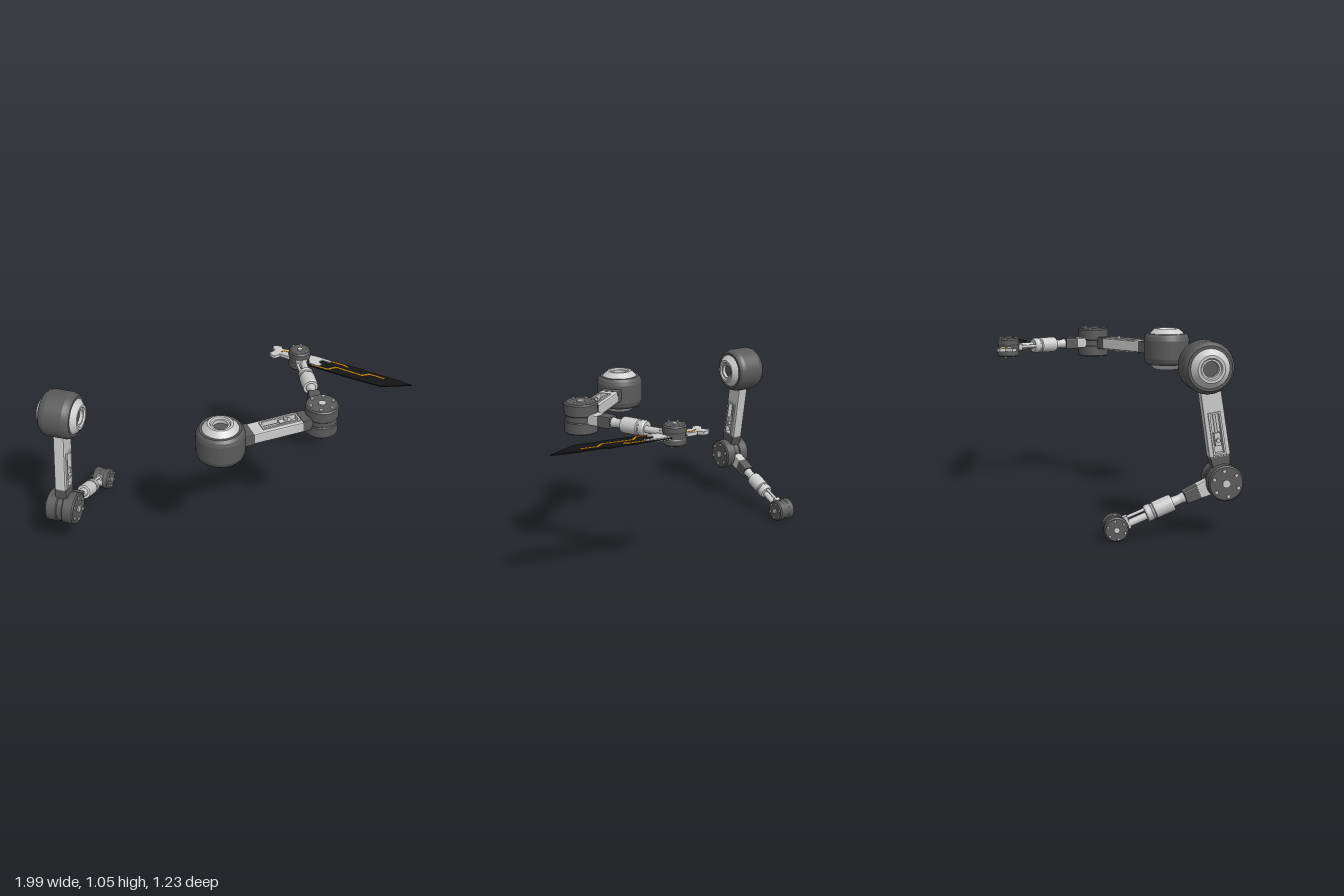
import * as THREE from 'three';

const mat = (color) => new THREE.MeshStandardMaterial({ color, side: THREE.DoubleSide });
const light = mat(0xcccccc), dark = mat(0x5a5a5a), black = mat(0x141414), orange = mat(0xc8860d);

function add(parent, name, geometry, material, x = 0, y = 0, z = 0) {
  const m = new THREE.Mesh(geometry, material);
  m.name = name;
  m.position.set(x, y, z);
  parent.add(m);
  return m;
}

const poly = (pts) => new THREE.Shape(pts.map(([x, y]) => new THREE.Vector2(x, y)));

// Plate of given thickness centred on z = 0, with a small bevel kept inside the thickness
function plate(shape, t, b = 0) {
  const g = new THREE.ExtrudeGeometry(shape, {
    depth: t - 2 * b, bevelEnabled: b > 0, bevelThickness: b, bevelSize: b, bevelOffset: -b, bevelSegments: 2,
  });
  return g.translate(0, 0, -t / 2 + b);
}

// Sharp-edged turned part about local z: each profile segment is its own smooth band
function turned(parent, name, profile, material, sign = 1) {
  const group = new THREE.Group();
  group.name = name;
  for (let i = 0; i < profile.length - 1; i++) {
    const pts = [profile[i], profile[i + 1]].map(([r, h]) => new THREE.Vector2(r, h * sign));
    add(group, name + 'Band', new THREE.LatheGeometry(pts, 40).rotateX(Math.PI / 2), material);
  }
  parent.add(group);
}

// Frame at a point: z is the joint axis, y runs along the link
function frame(name, at, dir, axis) {
  const g = new THREE.Group();
  g.name = name;
  const y = dir.clone().normalize(), z = axis.clone();
  const x = new THREE.Vector3().crossVectors(y, z);
  g.quaternion.setFromRotationMatrix(new THREE.Matrix4().makeBasis(x, y, z));
  g.position.copy(at);
  return g;
}

function shoulder(g) {
  turned(g, 'shoulderDrum', [[0.118, -0.093], [0.131, -0.078], [0.138, -0.055], [0.138, 0.055], [0.131, 0.078], [0.118, 0.093]], dark);
  for (const s of [-1, 1]) {
    turned(g, 'shoulderRim', [[0.118, 0.093], [0.104, 0.093], [0.104, 0.08]], dark, s);
    turned(g, 'shoulderCap', [[0.106, 0.088], [0.1, 0.097], [0.072, 0.123], [0.058, 0.123], [0.052, 0.114], [0.042, 0.114], [0.04, 0.09]], light, s);
    turned(g, 'shoulderHub', [[0.042, 0.095], [0, 0.095]], dark, s);
  }
}

// Two bolted discs on a narrower core
function joint(g, name, r, h) {
  turned(g, name + 'Core', [[r * 0.93, -0.02], [r * 0.93, 0.02]], dark);
  for (const s of [-1, 1]) {
    turned(g, name + 'Disc', [[0, 0.016], [r * 0.95, 0.016], [r, 0.021], [r, h - 0.008], [r - 0.008, h], [0, h]], dark, s);
    const bolt = (rad) => new THREE.CylinderGeometry(rad, rad, 0.014, 14).rotateX(Math.PI / 2);
    add(g, name + 'CentreBolt', bolt(r * 0.23), light, 0, 0, s * h);
    for (let i = 0; i < 6; i++) {
      const a = (i + 0.2) * Math.PI / 3;
      add(g, name + 'Bolt', bolt(r * 0.1), light, r * 0.72 * Math.cos(a), r * 0.72 * Math.sin(a), s * h);
    }
  }
}

function upperArm(g, collared) {
  // Slotted beam: frames on both faces over a thin web
  const outline = [[-0.056, 0.1], [0.056, 0.1], [0.058, 0.47], [0.048, 0.5], [-0.048, 0.5], [-0.058, 0.47]];
  const beam = poly(outline);
  beam.holes.push(poly([[-0.024, 0.25], [-0.024, 0.46], [0.024, 0.46], [0.024, 0.25]]));
  add(g, 'upperArmBeam', plate(beam, 0.066, 0.008), light);
  add(g, 'slotWeb', new THREE.BoxGeometry(0.06, 0.23, 0.022), light, 0, 0.355, 0);
  for (const s of [-1, 1]) {
    const rim = poly([[-0.034, 0.24], [0.034, 0.24], [0.034, 0.47], [-0.034, 0.47]]);
    rim.holes.push(poly([[-0.024, 0.25], [-0.024, 0.46], [0.024, 0.46], [0.024, 0.25]]));
    add(g, 'slotFrame', plate(rim, 0.014), light, 0, 0, s * 0.034);
    add(g, 'slotRod', new THREE.CylinderGeometry(0.008, 0.008, 0.12, 12), light, 0, 0.31, s * 0.02);
    add(g, 'slotBlock', new THREE.BoxGeometry(0.032, 0.07, 0.03), light, 0, 0.385, s * 0.022);
  }
  add(g, 'crossPin', new THREE.CylinderGeometry(0.011, 0.011, 0.102, 16).rotateX(Math.PI / 2), light, 0, 0.39, 0);
  // Dark clevis reaching into the elbow
  add(g, 'elbowCollar', plate(poly([[-0.056, 0.475], [0.056, 0.475], [0.04, 0.58], [-0.04, 0.58]]), 0.074, 0.006), dark);
  if (collared) add(g, 'shoulderCollar', plate(poly([[-0.058, 0.09], [0.058, 0.09], [0.059, 0.18], [-0.059, 0.18]]), 0.072, 0.006), dark);
}

function forearm(g) {
  add(g, 'forearmStub', plate(poly([[-0.045, 0.06], [0.045, 0.06], [0.038, 0.15], [-0.038, 0.15]]), 0.062, 0.008), light);
  add(g, 'forearmCollar', plate(poly([[-0.04, 0.14], [0.04, 0.14], [0.034, 0.222], [-0.034, 0.222]]), 0.07, 0.008), dark);
  // Turned sleeve, ring groove and end ring
  const sleeve = [[0.031, 0.21], [0.025, 0.25], [0.028, 0.292], [0.043, 0.292], [0.046, 0.3], [0.046, 0.395], [0.041, 0.4],
    [0.041, 0.408], [0.045, 0.412], [0.045, 0.438], [0.04, 0.446], [0, 0.446]];
  for (let i = 0; i < sleeve.length - 1; i++) {
    const pts = [sleeve[i], sleeve[i + 1]].map(([r, y]) => new THREE.Vector2(r, y));
    add(g, 'forearmSleeve', new THREE.LatheGeometry(pts, 32), light);
  }
  // Main rod and slim guide rod to the wrist
  add(g, 'mainRod', new THREE.CylinderGeometry(0.02, 0.02, 0.15, 20), light, 0.01, 0.51, 0);
  add(g, 'guideRod', new THREE.CylinderGeometry(0.009, 0.009, 0.12, 12), light, -0.026, 0.495, 0);
  add(g, 'rodClamp', new THREE.BoxGeometry(0.07, 0.024, 0.036), light, -0.002, 0.555, 0);
}

function createArm(name, s, e, w, axis, collared) {
  const arm = new THREE.Group();
  arm.name = name;
  const upper = e.clone().sub(s), lower = w.clone().sub(e);
  const parts = [
    ['shoulder', s, upper, (g) => shoulder(g)],
    ['upperArm', s, upper, (g) => upperArm(g, collared)],
    ['elbow', e, lower, (g) => joint(g, 'elbow', 0.096, 0.089)],
    ['forearm', e, lower, (g) => forearm(g)],
    ['wrist', w, lower, (g) => joint(g, 'wrist', 0.067, 0.056)],
  ];
  for (const [label, at, dir, build] of parts) {
    const g = frame(label, at, dir, axis);
    build(g);
    arm.add(g);
  }
  return arm;
}

// Flat blade lying in the x-z plane, with a hooked tail behind the wrist
function createBlade() {
  const blade = new THREE.Group();
  blade.name = 'blade';
  const layer = (name, pts, t, material) =>
    add(blade, name, plate(poly(pts), t).rotateX(Math.PI / 2), material);
  layer('bladePlate', [[-0.05, -0.05], [0.09, -0.04], [0.4, 0.01], [0.42, 0.024], [0.57, 0.05], [0.705, 0.085], [0.53, 0.155],
    [0.3, 0.115], [0.1, 0.072], [-0.05, 0.035]], 0.007, black);
  layer('bladeGuard', [[0.05, -0.04], [0.1, -0.035], [0.2, -0.012], [0.19, 0.005], [0.14, -0.005], [0.125, 0.02], [0.15, 0.04],
    [0.13, 0.065], [0.07, 0.05]], 0.018, light);
  layer('bladeInlay', [[0.09, 0.055], [0.19, 0.072], [0.235, 0.036], [0.4, 0.075], [0.44, 0.047], [0.54, 0.07], [0.535, 0.08],
    [0.445, 0.06], [0.405, 0.087], [0.24, 0.049], [0.195, 0.084], [0.09, 0.066]], 0.011, orange);
  layer('upperInlay', [[0.2, -0.014], [0.28, 0], [0.31, 0.02], [0.3, 0.026], [0.27, 0.01], [0.2, -0.003]], 0.011, orange);
  layer('tailHook', [[-0.04, -0.045], [-0.1, -0.055], [-0.115, -0.048], [-0.135, -0.08], [-0.17, -0.075], [-0.185, -0.06], [-0.16, -0.025],
    [-0.185, 0.015], [-0.165, 0.035], [-0.145, 0.042], [-0.12, 0.008], [-0.04, 0.03]], 0.02, light);
  layer('tailInlay', [[-0.04, -0.03], [-0.1, -0.038], [-0.125, -0.02], [-0.12, -0.012], [-0.1, -0.026], [-0.04, -0.018]], 0.024, orange);
  return blade;
}

export function createModel() {
  const model = new THREE.Group();
  model.name = 'robotArms';
  const v = (x, y, z) => new THREE.Vector3(x, y, z);
  model.add(createArm('hangingArm', v(-0.877, 0.914, 0.421), v(-0.877, 0.305, 0.519), v(-0.877, 0.069, -0.057), v(1, 0, 0), false));
  model.add(createArm('bladeArm', v(0.063, 0.911, 0.412), v(0.545, 0.911, 0.03), v(0.285, 0.911, -0.535), v(0, 1, 0), true));
  const blade = createBlade();
  blade.position.set(0.285, 0.907, -0.535);
  blade.rotation.z = -0.02;
  model.add(blade);
  return model;
}
